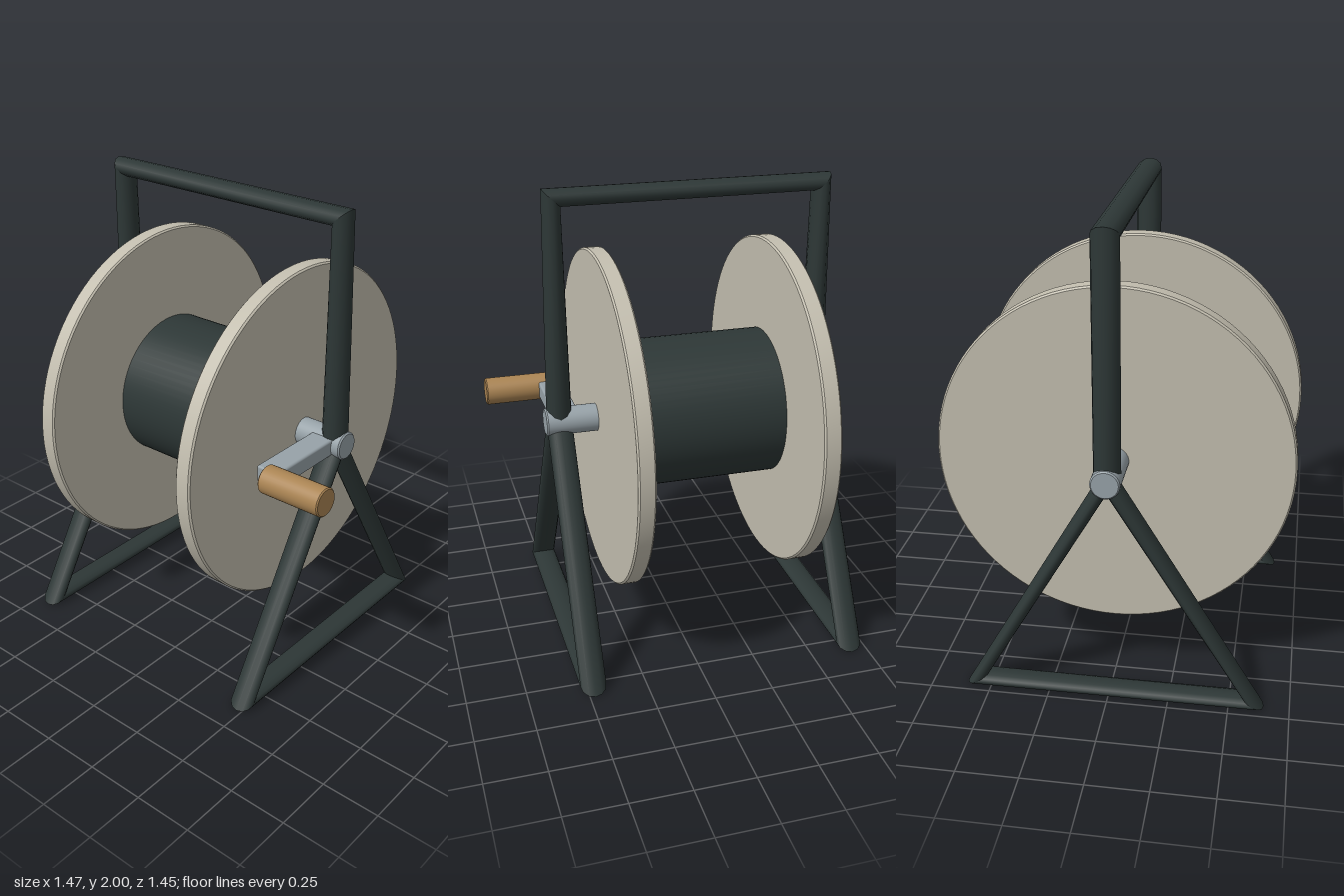
import * as THREE from 'three';
import { mergeGeometries, toCreasedNormals } from 'three/addons/utils/BufferGeometryUtils.js';
import { RoundedBoxGeometry } from 'three/addons/geometries/RoundedBoxGeometry.js';

const SIDES = 12;
const V = (x, y, z) => new THREE.Vector3(x, y, z);
const material = (name, color) => {
  const m = new THREE.MeshStandardMaterial({ color });
  m.name = name;
  return m;
};

// Elliptical mitre ring: centre c with half axes a and b
const ring = (c, a, b) => ({ c, a, b });

// Smooth bar between two mitre rings
function bar(r0, r1) {
  const pos = [], index = [];
  for (const { c, a, b } of [r0, r1]) {
    for (let i = 0; i < SIDES; i++) {
      const t = (i / SIDES) * Math.PI * 2;
      const p = c.clone().addScaledVector(a, Math.cos(t)).addScaledVector(b, Math.sin(t));
      pos.push(p.x, p.y, p.z);
    }
  }
  const forward = r0.a.clone().cross(r0.b).dot(r1.c.clone().sub(r0.c)) > 0;
  for (let i = 0; i < SIDES; i++) {
    const j = (i + 1) % SIDES;
    if (forward) index.push(i, j, SIDES + j, i, SIDES + j, SIDES + i);
    else index.push(i, SIDES + j, j, i, SIDES + i, SIDES + j);
  }
  const g = new THREE.BufferGeometry();
  g.setAttribute('position', new THREE.Float32BufferAttribute(pos, 3));
  g.setIndex(index);
  g.computeVertexNormals();
  return g;
}

// Solid disc or rod along x with a small bevel at both rims
function rod(x0, x1, r, bevel, segments) {
  const h = (x1 - x0) / 2;
  const profile = [[0, -h], [r - bevel, -h], [r, -h + bevel], [r, h - bevel], [r - bevel, h], [0, h]];
  const g = new THREE.LatheGeometry(profile.map(([x, y]) => new THREE.Vector2(x, y)), segments);
  g.rotateZ(-Math.PI / 2);
  g.translate((x0 + x1) / 2, 0, 0);
  return toCreasedNormals(g, 0.5);
}

export function createModel() {
  const model = new THREE.Group();
  model.name = 'cableReel';
  const dark = material('darkSteel', 0x2d3736);
  const cream = material('creamFlange', 0xc3beaf);
  const grey = material('greyMetal', 0x97a2a8);
  const wood = material('woodGrip', 0xaa8453);
  const add = (name, geometry, mat, x = 0, y = 0, z = 0) => {
    const mesh = new THREE.Mesh(geometry, mat);
    mesh.name = name;
    mesh.position.set(x, y, z);
    model.add(mesh);
  };

  // Triangular feet, one on each side
  const corner = (x, outer, inner) => {
    const o = V(x, ...outer), i = V(x, ...inner);
    return ring(o.clone().add(i).multiplyScalar(0.5), V(0.055, 0, 0), o.sub(i).multiplyScalar(0.5));
  };
  for (const [side, x] of [['right', -0.68], ['left', 0.476]]) {
    const corners = [
      corner(x, [1.065, 0], [0.937, 0]),
      corner(x, [0.003, 0.645], [0.055, 0.55]),
      corner(x, [0.003, -0.605], [0.055, -0.51]),
    ];
    const bars = corners.map((c, i) => bar(c, corners[(i + 1) % 3]));
    add(side + 'Foot', mergeGeometries(bars), dark);
  }

  // Carrying handle: two tapering posts mitred to the top bar
  const depth = V(0, 0, 0.055);
  const path = [
    ring(V(-0.676, 1, 0), depth, V(0.055, 0, 0)),
    ring(V(-0.677, 1.9625, 0), depth, V(0.039, -0.0375, 0)),
    ring(V(0.476, 1.9625, 0), depth, V(-0.039, -0.0375, 0)),
    ring(V(0.476, 1, 0), depth, V(-0.055, 0, 0)),
  ];
  // The lower post rings keep the same winding as the mitres they join
  add('carryFrame', mergeGeometries(path.slice(1).map((r, i) => bar(path[i], r))), dark);

  // Axle, drum and flanges
  add('axle', rod(-0.74, 0.537, 0.06, 0.006, 32), grey, 0, 1);
  add('drum', rod(-0.45, 0.25, 0.32, 0.004, 64), dark, 0, 1);
  add('rightFlange', rod(-0.515, -0.44, 0.725, 0.007, 96), cream, 0, 1);
  add('leftFlange', rod(0.242, 0.315, 0.725, 0.007, 96), cream, 0, 1);

  // Crank
  add('crankArm', new RoundedBoxGeometry(0.108, 0.074, 0.41, 2, 0.01), grey, 0.443, 1, 0.205);
  add('crankGrip', rod(0.445, 0.733, 0.06, 0.005, 32), wood, 0, 1, 0.416);
  return model;
}
